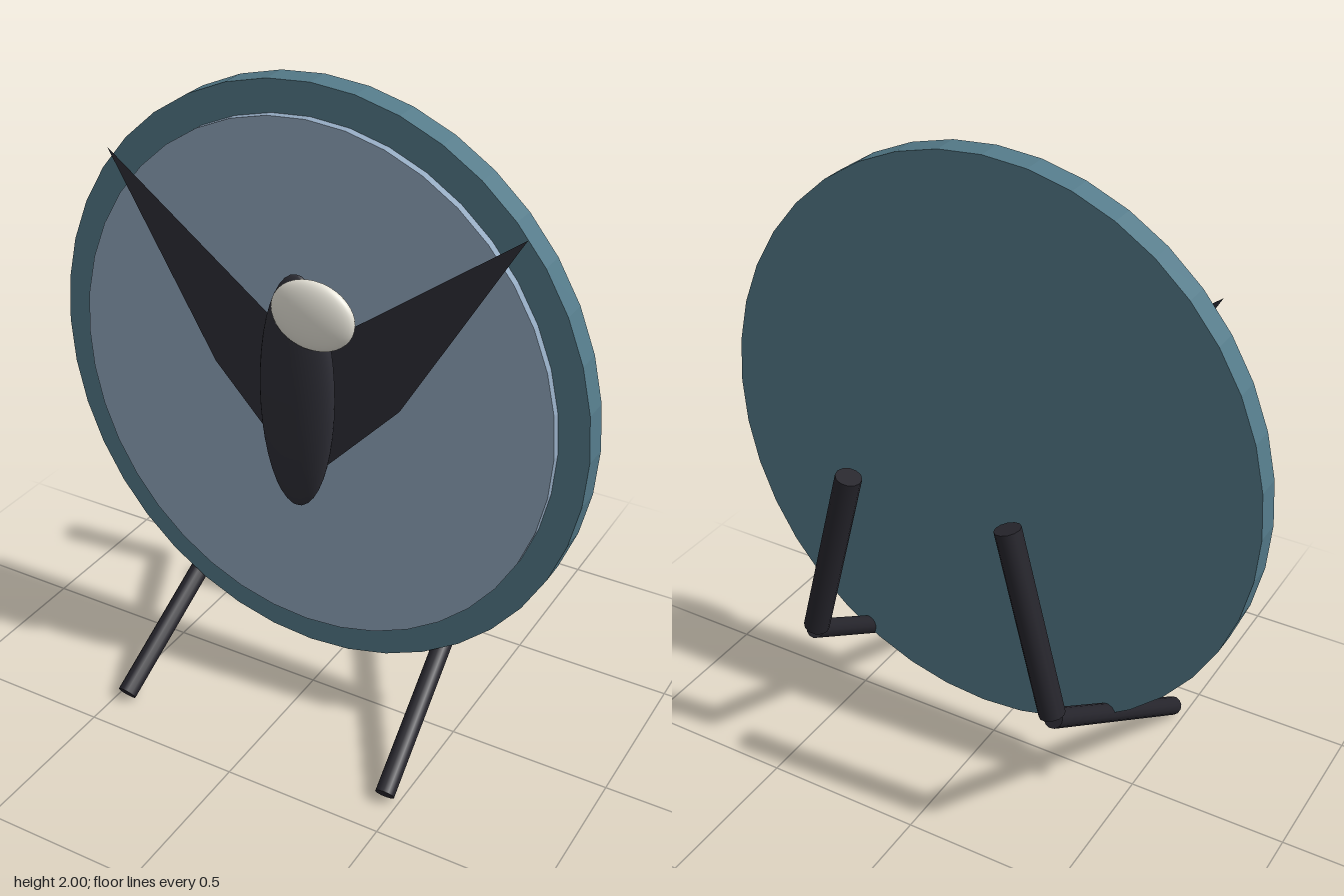
import * as THREE from 'three';

const mat = (name, color, extra = {}) => {
  const m = new THREE.MeshStandardMaterial({ color, ...extra });
  m.name = name;
  return m;
};

export function createModel() {
  const group = new THREE.Group();
  const teal = mat('teal rim', 0x547a89, { flatShading: true });
  const paleBlue = mat('pale blue panel', 0x93a9c0, { flatShading: true });
  const charcoal = mat('charcoal bird', 0x2e2e36);
  const wingMat = mat('charcoal wing', 0x2e2e36, { side: THREE.DoubleSide });
  const black = mat('black legs', 0x26252c);
  const ivory = mat('ivory head', 0xe6e3d8);

  const add = (name, geometry, material, x = 0, y = 0, z = 0) => {
    const mesh = new THREE.Mesh(geometry, material);
    mesh.name = name;
    mesh.position.set(x, y, z);
    group.add(mesh);
    return mesh;
  };

  // Upright oval disc facing +z
  const oval = (name, rx, ry, z0, z1, material) => {
    const g = new THREE.CylinderGeometry(1, 1, z1 - z0, 40);
    g.rotateX(Math.PI / 2).scale(rx, ry, 1);
    return add(name, g, material, 0, 1.09, (z0 + z1) / 2);
  };
  oval('backDisc', 0.862, 0.91, -0.065, 0.015, teal);
  oval('frontPanel', 0.77, 0.815, 0.01, 0.04, paleBlue);

  // Bird body and head: flattened spheres
  const ellipsoid = (rx, ry, rz) => new THREE.SphereGeometry(1, 32, 20).scale(rx, ry, rz);
  add('birdBody', ellipsoid(0.121, 0.375, 0.048), charcoal, 0, 1.1, 0.091);
  add('birdHead', ellipsoid(0.132, 0.105, 0.039), ivory, 0.07, 1.38, 0.123);

  // Rod between two points
  const rod = (name, a, b, r) => {
    const d = b.clone().sub(a);
    const mesh = add(name, new THREE.CylinderGeometry(r, r, d.length(), 12), black);
    mesh.position.copy(a).add(b).multiplyScalar(0.5);
    mesh.quaternion.setFromUnitVectors(new THREE.Vector3(0, 1, 0), d.normalize());
  };

  // Mirrored wings and bent legs
  for (const [side, s] of [['left', 1], ['right', -1]]) {
    const wing = new THREE.Shape([[0, 1.215], [0, 0.78], [0.305, 1.105], [0.655, 1.705]]
      .map(([x, y]) => new THREE.Vector2(s * x, y)));
    add(side + 'Wing', new THREE.ShapeGeometry(wing), wingMat, 0, 0, 0.045);

    const foot = new THREE.Vector3(s * 0.46, 0.028, 0.377);
    const knee = new THREE.Vector3(s * 0.41, 0.505, -0.37);
    rod(side + 'LowerLeg', knee, foot, 0.03);
    rod(side + 'UpperLeg', new THREE.Vector3(s * 0.405, 0.517, -0.368),
      new THREE.Vector3(s * 0.257, 1.096, -0.368), 0.039);
  }
  return group;
}
